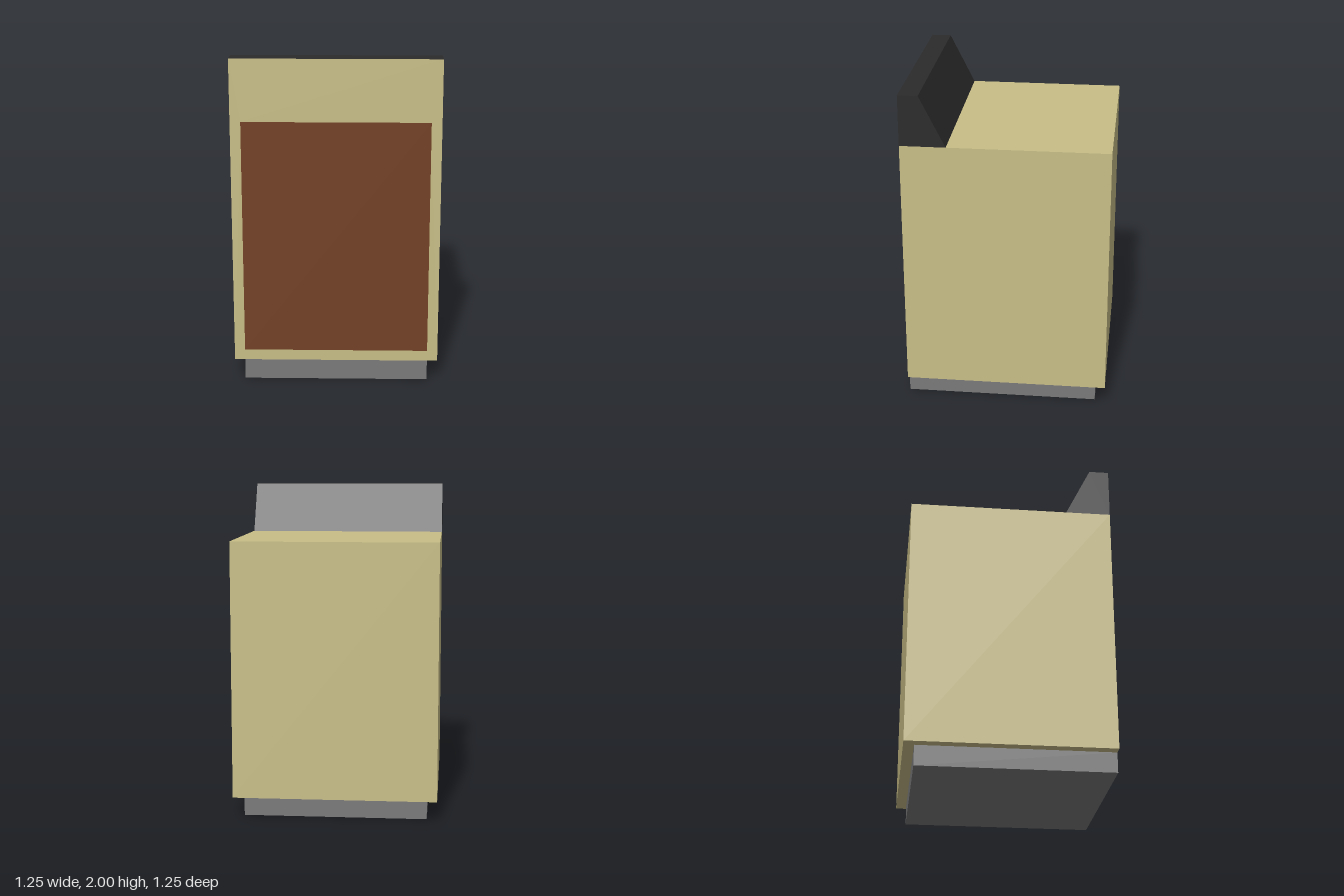
import * as THREE from 'three';

const HALF = 0.623;      // half width and half depth of the body
const INSET = 0.56;      // half width of the plinth and the front panel
const BASE = 0.125;      // top of the plinth
const ROOF = 1.69;       // top of the body
const SKIN = 0.002;      // thickness allowed for the front facing

const paint = (color) => new THREE.MeshStandardMaterial({ color, flatShading: true });

function add(group, name, geometry, material, x = 0, y = 0, z = 0) {
  const mesh = new THREE.Mesh(geometry, material);
  mesh.name = name;
  mesh.position.set(x, y, z);
  group.add(mesh);
}

// Closed rectangle from its left, bottom, right and top
const rectangle = (l, b, r, t) => new THREE.Shape([
  new THREE.Vector2(l, b), new THREE.Vector2(r, b),
  new THREE.Vector2(r, t), new THREE.Vector2(l, t),
]);

export function createModel() {
  const group = new THREE.Group();
  const tan = paint(0xc8be87);
  const brown = paint(0x734024);
  const grey = paint(0x7a7a7a);
  const black = paint(0x2b2b2b);
  const face = HALF - SKIN;

  // Plinth: flush at the front, set back at the sides and rear
  const plinthDepth = face + INSET;
  add(group, 'plinth', new THREE.BoxGeometry(INSET * 2, BASE, plinthDepth), grey,
    0, BASE / 2, face - plinthDepth / 2);

  // Main body
  const bodyDepth = face + HALF;
  add(group, 'body', new THREE.BoxGeometry(HALF * 2, ROOF - BASE, bodyDepth), tan,
    0, (ROOF + BASE) / 2, face - bodyDepth / 2);

  // Sloped parapet: side profile in (z, y), extruded across the width
  const profile = new THREE.Shape([
    new THREE.Vector2(-face, ROOF), new THREE.Vector2(-0.345, ROOF),
    new THREE.Vector2(-0.5, 2), new THREE.Vector2(-face, 2),
  ]);
  const parapet = new THREE.ExtrudeGeometry(profile, { depth: HALF * 2, bevelEnabled: false });
  parapet.rotateY(Math.PI / 2);
  add(group, 'parapet', parapet, black, -HALF);

  // Front facing with an opening, and the panel that fills it
  const facing = rectangle(-HALF, BASE, HALF, 2);
  const panel = rectangle(-INSET, 0.19, INSET, 1.625);
  facing.holes.push(panel);
  add(group, 'frontFacing', new THREE.ShapeGeometry(facing), tan, 0, 0, HALF);
  add(group, 'frontPanel', new THREE.ShapeGeometry(panel), brown, 0, 0, HALF);

  return group;
}
